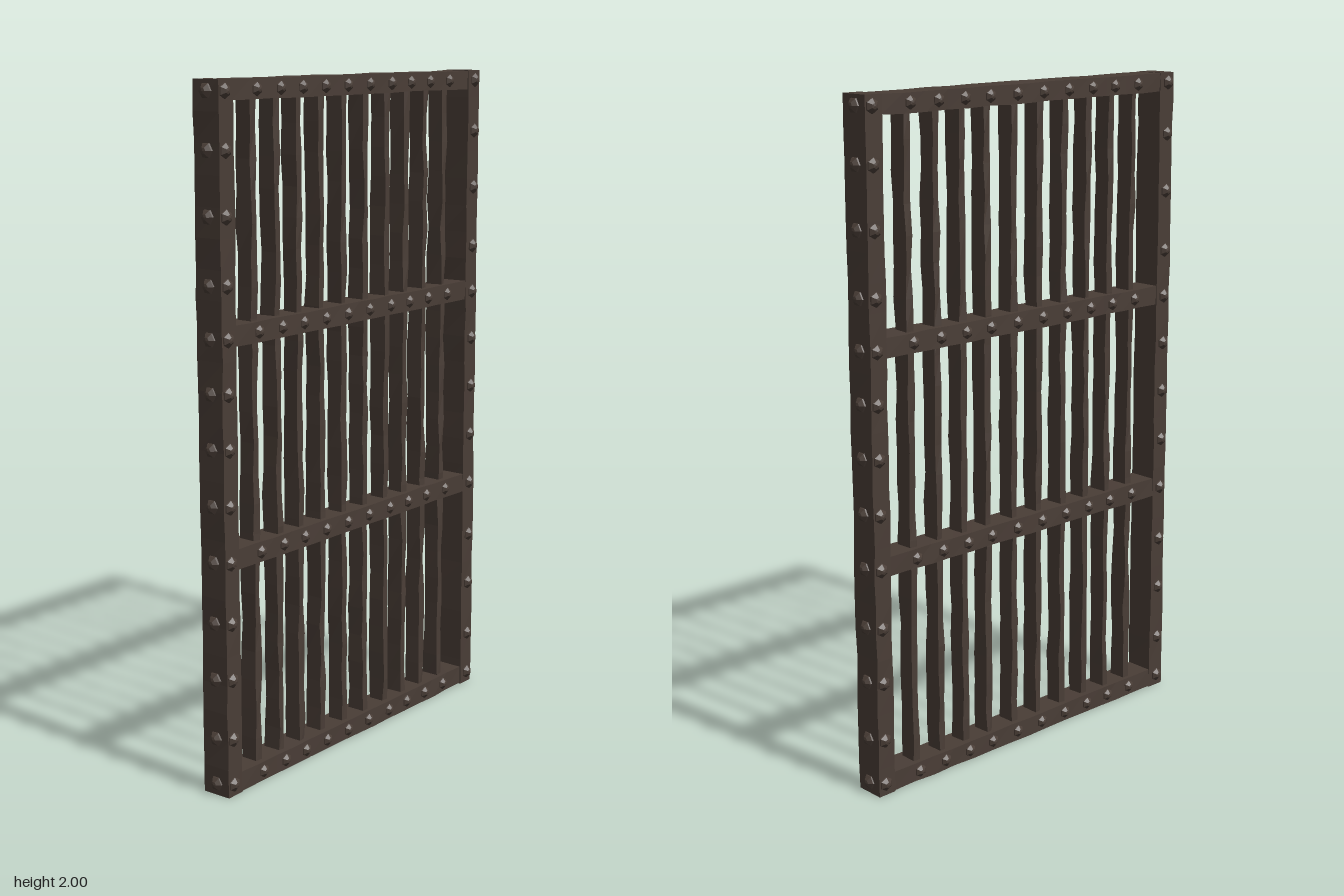
import * as THREE from 'three';

const iron = new THREE.MeshStandardMaterial({ color: 0x493d36, flatShading: true });
iron.name = 'dark iron';

// Repeatable noise in -1..1, identical for vertices that share a position
function noise(x, y, z, seed) {
  const s = Math.sin(x * 127.1 + y * 311.7 + z * 74.7 + seed * 19.3) * 43758.5453;
  return (s - Math.floor(s)) * 2 - 1;
}

// Forged beam: a segmented box with slightly uneven edges
function beam(name, size, position, segments, wear, seed) {
  const geo = new THREE.BoxGeometry(...size, ...segments);
  const p = geo.attributes.position;
  const long = size[0] > size[1] ? 0 : 1;
  for (let i = 0; i < p.count; i++) {
    const v = [p.getX(i), p.getY(i), p.getZ(i)].map((c) => Math.round(c * 1e4) / 1e4 + 0);
    const moved = v.map((c, a) => (a === long ? c : c + wear[a] * noise(v[0], v[1], v[2], seed + a)));
    p.setXYZ(i, ...moved);
  }
  geo.computeVertexNormals();
  const mesh = new THREE.Mesh(geo, iron);
  mesh.name = name;
  mesh.position.set(...position);
  return mesh;
}

// Faceted rivet head, its axis turned to the given normal
const rivetGeo = new THREE.LatheGeometry(
  [[0.023, -0.004], [0.021, 0.004], [0.009, 0.014], [0, 0.016]].map(([r, h]) => new THREE.Vector2(r, h)), 6);
const up = new THREE.Vector3(0, 1, 0);
function rivet(x, y, z, normal, scale = 1) {
  const mesh = new THREE.Mesh(rivetGeo, iron);
  mesh.name = 'rivet';
  mesh.position.set(x, y, z);
  mesh.quaternion.setFromUnitVectors(up, new THREE.Vector3(...normal));
  mesh.scale.setScalar(scale);
  return mesh;
}

export function createModel() {
  const gate = new THREE.Group();
  gate.name = 'barredGate';
  const rivets = new THREE.Group();
  rivets.name = 'rivets';
  gate.add(rivets);

  // Side posts, riveted on the front, back and outer faces
  const postRivets = [0.035, 0.17, 0.345, 0.51, 0.685, 0.845, 1.005, 1.16, 1.31, 1.455, 1.64, 1.815, 1.97];
  for (const side of [-1, 1]) {
    gate.add(beam(side > 0 ? 'leftPost' : 'rightPost', [0.058, 2, 0.09],
      [side * 0.577, 1, 0], [1, 24, 1], [0.002, 0, 0.001], side + 5));
    for (const y of postRivets) {
      rivets.add(rivet(side * 0.606, y, 0, [side, 0, 0]));
      for (const f of [-1, 1]) rivets.add(rivet(side * 0.582, y, f * 0.044, [0, 0, f]));
    }
  }

  // Cross rails, riveted over each bar
  const barX = [-0.45, -0.35, -0.255, -0.155, -0.053, 0.05, 0.155, 0.25, 0.347, 0.448];
  const rails = [['bottomRail', 0.031, 0.058], ['lowerRail', 0.689, 0.058],
    ['upperRail', 1.316, 0.058], ['topRail', 1.971, 0.055]];
  rails.forEach(([name, y, height], i) => {
    gate.add(beam(name, [1.1, height, 0.086], [0, y, 0], [14, 1, 1], [0, 0.0015, 0.0015], i + 11));
    for (const x of barX) {
      for (const f of [-1, 1]) rivets.add(rivet(x, y, f * 0.042, [0, 0, f], 0.9));
    }
  });

  // Upright flat bars with worn edges
  barX.forEach((x, i) => {
    gate.add(beam('bar', [0.022, 1.92, 0.052], [x, 1, 0], [1, 22, 1], [0.002, 0, 0.004], i + 23));
  });

  return gate;
}
